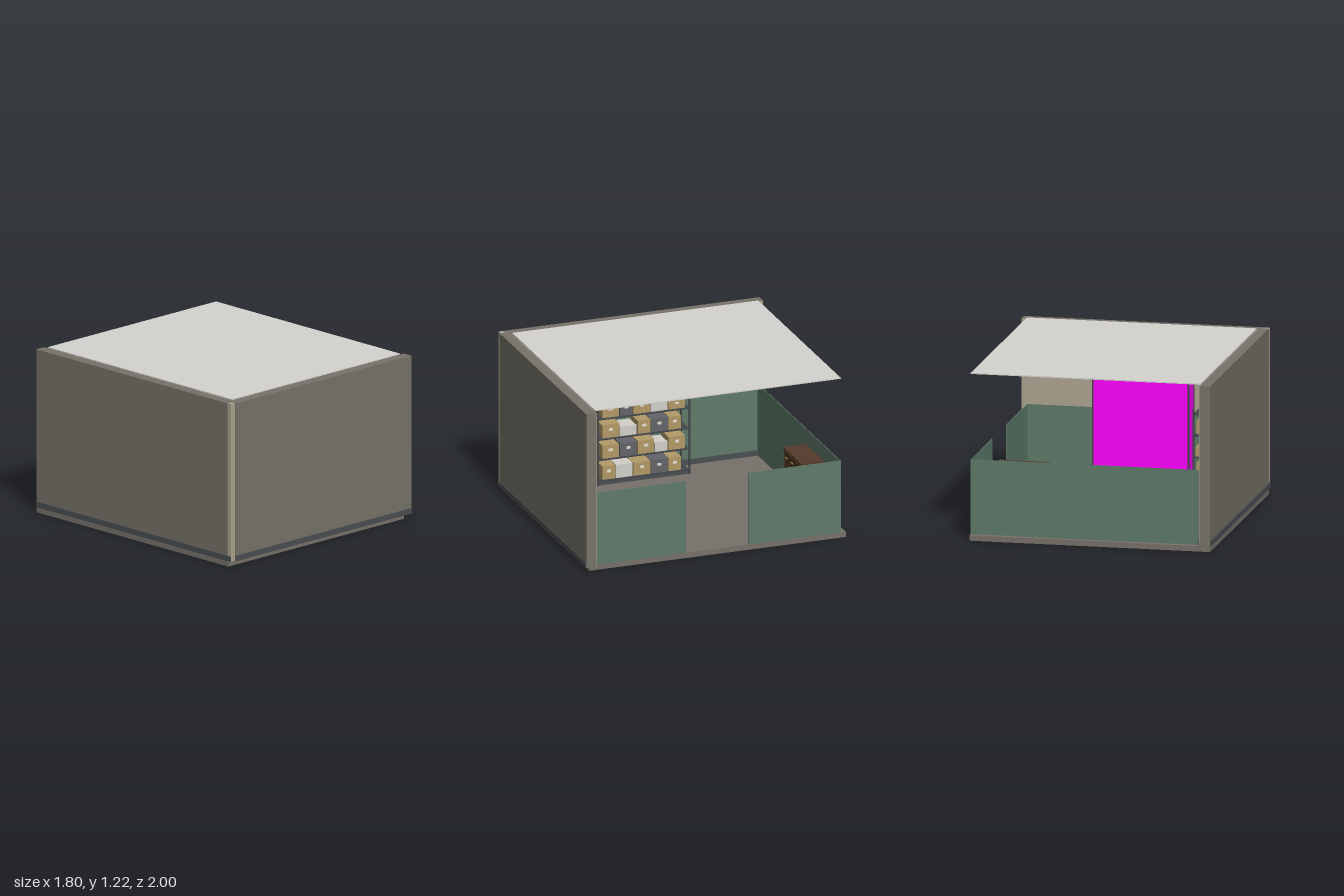
import * as THREE from 'three';

const mat = (color) => new THREE.MeshStandardMaterial({ color });
const M = {
  wall: mat(0x77736a), plaster: mat(0xada490), green: mat(0x5f7a6a), floor: mat(0x77716a),
  base: mat(0x4b4f52), ceiling: mat(0xd6d4cf), metal: mat(0x43474b), tan: mat(0xb39a68),
  white: mat(0xd2cfc8), grey: mat(0x62656a), label: mat(0xe4e0d4), cover: mat(0xff00ff),
  wood: mat(0x553c2c), drawer: mat(0x46301f), brass: mat(0xb08d3c), black: mat(0x222222),
};

// Box given by its minimum and maximum on each axis
function box(parent, name, material, x0, x1, y0, y1, z0, z1) {
  const mesh = new THREE.Mesh(new THREE.BoxGeometry(x1 - x0, y1 - y0, z1 - z0), material);
  mesh.position.set((x0 + x1) / 2, (y0 + y1) / 2, (z0 + z1) / 2);
  mesh.name = name;
  parent.add(mesh);
  return mesh;
}

function group(parent, name) {
  const g = new THREE.Group();
  g.name = name;
  parent.add(g);
  return g;
}

// Floor, walls, ceiling
function buildShell(root) {
  const g = group(root, 'shell');
  box(g, 'floor', M.floor, -0.9, 0.86, 0, 0.04, -1, 0.96);
  box(g, 'ceiling', M.ceiling, -0.82, 0.86, 1.212, 1.22, -0.962, 0.915);
  box(g, 'sideWall', M.wall, -0.9, -0.824, 0.04, 1.212, -1, 0.955);
  box(g, 'sideWallPlaster', M.plaster, -0.824, -0.82, 0.04, 1.211, -0.999, 0.915);
  box(g, 'frontWall', M.wall, -0.86, 0.9, 0.04, 1.212, 0.919, 0.995);
  box(g, 'frontWallPlaster', M.plaster, -0.82, 0.899, 0.04, 1.211, 0.915, 0.919);
  box(g, 'cornerFill', M.plaster, -0.9, -0.86, 0.04, 1.212, 0.955, 0.988);

  // Outer and inner skirting
  box(g, 'frontOuterSkirting', M.base, -0.86, 0.9, 0.04, 0.08, 0.995, 1);
  box(g, 'sideOuterSkirting', M.base, -0.905, -0.9, 0.04, 0.08, -1, 0.99);
  box(g, 'sideInnerSkirting', M.base, -0.82, -0.81, 0.04, 0.08, -1, 0.915);
  box(g, 'frontInnerSkirting', M.base, -0.82, 0.85, 0.04, 0.08, 0.905, 0.915);

  // Green dado on the full walls, low panels on the open sides
  const top = 0.587;
  box(g, 'sideDado', M.green, -0.82, -0.816, 0.04, top, -0.958, 0.915);
  box(g, 'frontDado', M.green, -0.82, 0.856, 0.04, top, 0.911, 0.915);
  box(g, 'backPanel', M.green, -0.82, 0.86, 0.04, top, -0.962, -0.956);
  box(g, 'entryPanelFront', M.green, 0.854, 0.86, 0.04, top, 0.22, 0.915);
  box(g, 'entryPanelBack', M.green, 0.854, 0.86, 0.04, top, -0.957, -0.257);
}

const SHELVES = [0.07, 0.23, 0.385, 0.54, 0.698, 0.855];

// Rack along local x, centred, with its back at z = 0 and its front at z = 0.18
function buildRack(parent, name) {
  const g = group(parent, name);
  for (const x of [-0.35, 0.35])
    for (const z of [0.005, 0.175])
      box(g, 'rackPost', M.metal, x - 0.006, x + 0.006, 0.04, 0.9, z - 0.005, z + 0.005);
  for (const y of SHELVES) box(g, 'rackShelf', M.metal, -0.345, 0.345, y - 0.004, y + 0.005, 0.002, 0.178);
  return g;
}

// Storage boxes per shelf: [start, end, height, colour], positions along the rack
const STOCK = [
  [[-0.33, -0.23, 0.1, 'tan'], [-0.225, -0.1, 0.1, 'white'], [-0.095, 0.035, 0.1, 'tan'], [0.04, 0.17, 0.1, 'grey'], [0.175, 0.27, 0.1, 'tan']],
  [[-0.33, -0.205, 0.1, 'tan'], [-0.195, -0.07, 0.1, 'grey'], [-0.06, 0.065, 0.1, 'tan'], [0.07, 0.165, 0.07, 'white'], [0.175, 0.3, 0.1, 'tan']],
  [[-0.33, -0.2, 0.1, 'tan'], [-0.195, -0.07, 0.07, 'white'], [-0.06, 0.035, 0.1, 'tan'], [0.04, 0.17, 0.1, 'grey'], [0.175, 0.27, 0.1, 'tan']],
  [[-0.33, -0.205, 0.1, 'tan'], [-0.195, -0.1, 0.1, 'grey'], [-0.095, 0.035, 0.1, 'tan'], [0.04, 0.165, 0.1, 'white'], [0.175, 0.3, 0.07, 'tan']],
  [[-0.33, -0.23, 0.1, 'tan'], [-0.225, -0.1, 0.1, 'white'], [-0.095, 0.03, 0.07, 'tan'], [0.04, 0.165, 0.1, 'grey'], [0.175, 0.27, 0.1, 'tan']],
];

function buildRacks(root) {
  // Open rack on the side wall
  const stocked = buildRack(root, 'stockedRack');
  STOCK.forEach((row, i) => {
    const y = SHELVES[i] + 0.005;
    for (const [x0, x1, h, color] of row) {
      // stock positions run from +z to -z; local +x points to -z after the turn
      const a = x0 - 0.02 + 0.04, b = x1 - 0.02 + 0.04;
      const dx = -0.0; 
      box(stocked, 'storageBox', M[color], a + dx, b + dx, y, y + h, 0.02, 0.165);
      const c = (a + b) / 2;
      if (color !== 'white')
        box(stocked, 'boxLabel', M.label, c - 0.016, c + 0.016, y + h * 0.52, y + h * 0.72, 0.165, 0.167);
    }
  });
  box(stocked, 'rackPlinth', M.base, -0.345, 0.345, 0.04, 0.068, 0.01, 0.176);
  stocked.rotation.y = Math.PI / 2;
  stocked.position.set(-0.815, 0, -0.02);

  // Covered rack on the front wall
  const covered = buildRack(root, 'coveredRack');
  box(covered, 'rackCover', M.cover, -0.352, 0.352, 0.045, 0.899, 0.001, 0.172);
  box(covered, 'rackCoverFront', M.cover, -0.344, 0.344, 0.045, 0.899, 0.172, 0.179);
  covered.rotation.y = Math.PI;
  covered.position.set(-0.01, 0, 0.914);
}

// Wooden chest of small drawers near the back panel
function buildChest(root) {
  const g = group(root, 'drawerChest');
  const x0 = 0.345, x1 = 0.7, z0 = -0.89, z1 = -0.725;
  box(g, 'chestBody', M.wood, x0, x1, 0.09, 0.525, z0, z1);
  box(g, 'chestTop', M.wood, x0 - 0.006, x1 + 0.006, 0.525, 0.54, z0 - 0.004, z1 + 0.008);
  for (const x of [x0, x1 - 0.025])
    for (const z of [z0, z1 - 0.025]) box(g, 'chestLeg', M.wood, x, x + 0.025, 0.04, 0.09, z, z + 0.025);
  const cols = 3, rows = 5, w = (x1 - x0 - 0.02) / cols, h = 0.42 / rows;
  for (let c = 0; c < cols; c++)
    for (let r = 0; r < rows; r++) {
      const x = x0 + 0.01 + c * w, y = 0.1 + r * h;
      box(g, 'drawerFront', M.drawer, x + 0.005, x + w - 0.005, y + 0.005, y + h - 0.005, z1, z1 + 0.006);
      box(g, 'drawerPull', M.brass, x + w / 2 - 0.016, x + w / 2 + 0.016, y + h * 0.48, y + h * 0.6, z1 + 0.006, z1 + 0.014);
    }
}

// Hanging lamp
function buildLamp(root) {
  const g = group(root, 'hangingLamp');
  const part = (name, material, rTop, rBottom, h, y) => {
    const mesh = new THREE.Mesh(new THREE.CylinderGeometry(rTop, rBottom, h, 16), material);
    mesh.position.y = y;
    mesh.name = name;
    g.add(mesh);
  };
  part('lampCord', M.black, 0.003, 0.003, 0.062, 1.182);
  part('lampCap', M.black, 0.01, 0.018, 0.012, 1.15);
  part('lampShade', M.white, 0.017, 0.017, 0.016, 1.137);
  part('lampBase', M.black, 0.015, 0.011, 0.014, 1.123);
  g.position.set(0.2, 0, -0.02);
}

export function createModel() {
  const root = new THREE.Group();
  root.name = 'storeRoom';
  buildShell(root);
  buildRacks(root);
  buildChest(root);
  buildLamp(root);
  return root;
}
